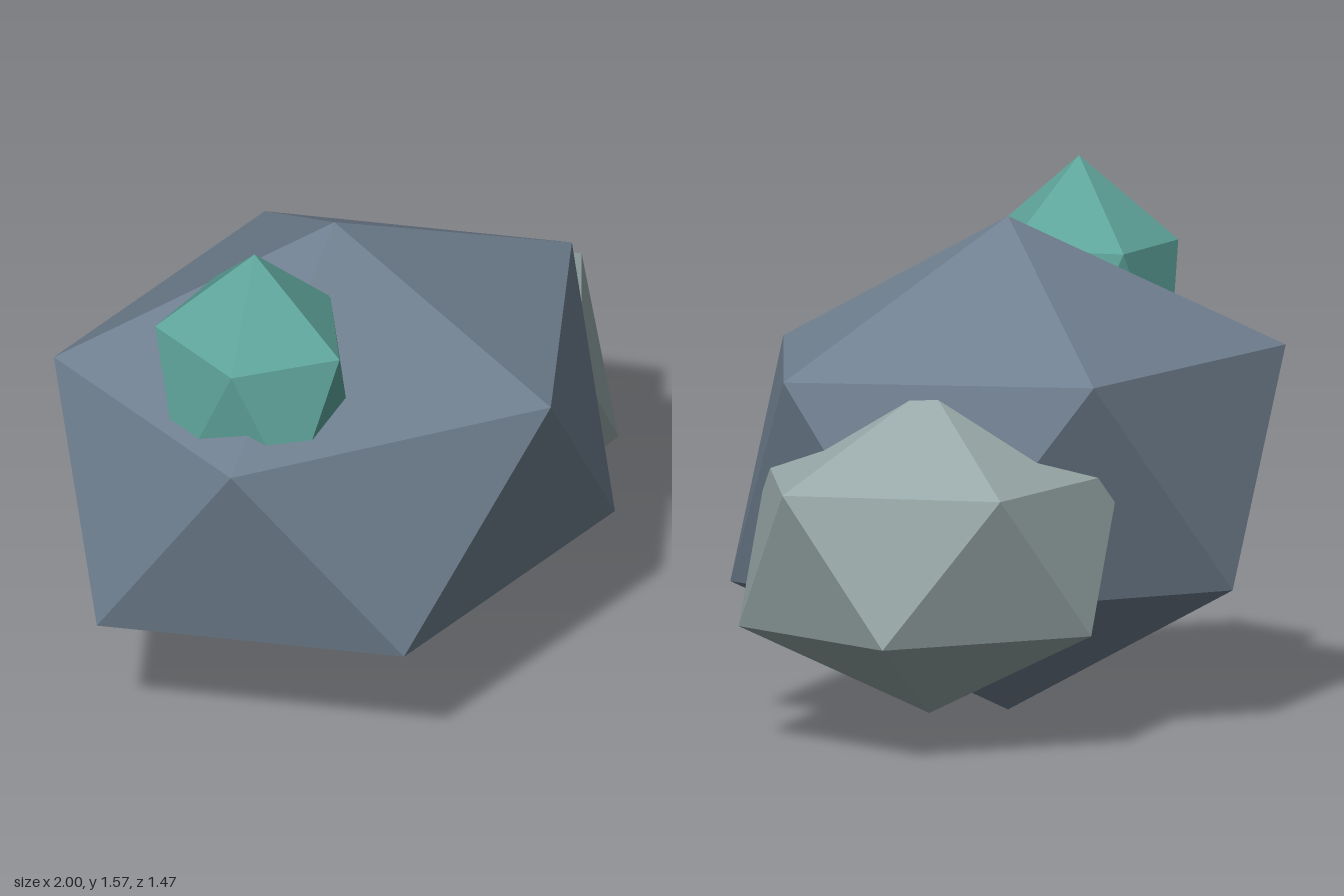
import * as THREE from 'three';

// Unit icosahedron standing on one vertex, two staggered rings of five
function gemGeometry() {
  const h = 1 / Math.sqrt(5), r = 2 / Math.sqrt(5);
  const ring = (y, offset) => Array.from({ length: 5 }, (_, i) => {
    const a = (i + offset) * Math.PI * 2 / 5;
    return [r * Math.cos(a), y, r * Math.sin(a)];
  });
  const upper = ring(h, 0), lower = ring(-h, 0.5);
  const top = [0, 1, 0], bottom = [0, -1, 0];
  const positions = [];
  for (let i = 0; i < 5; i++) {
    const j = (i + 1) % 5;
    positions.push(
      ...top, ...upper[j], ...upper[i],
      ...upper[i], ...upper[j], ...lower[i],
      ...lower[i], ...upper[j], ...lower[j],
      ...bottom, ...lower[i], ...lower[j],
    );
  }
  const geometry = new THREE.BufferGeometry();
  geometry.setAttribute('position', new THREE.Float32BufferAttribute(positions, 3));
  return geometry;
}

function rock(name, colorName, color, radii, centre) {
  const material = new THREE.MeshStandardMaterial({ color, flatShading: true });
  material.name = colorName;
  const geometry = gemGeometry().scale(...radii);
  geometry.computeVertexNormals();
  const mesh = new THREE.Mesh(geometry, material);
  mesh.name = name;
  mesh.position.set(...centre);
  return mesh;
}

export function createModel() {
  const group = new THREE.Group();
  group.name = 'rockCluster';
  group.add(
    // Main boulder
    rock('largeRock', 'slateBlue', 0x708090, [0.974, 0.725, 0.8], [-0.126, 0.725, 0.057]),
    // Boulder leaning at the back left
    rock('mediumRock', 'paleGrey', 0x98a8a8, [0.637, 0.481, 0.6], [0.43, 0.56, -0.227]),
    // Crystal set into the top
    rock('smallCrystal', 'teal', 0x5fa59c, [0.311, 0.452, 0.344], [-0.535, 1.118, 0.208]),
  );
  return group;
}
